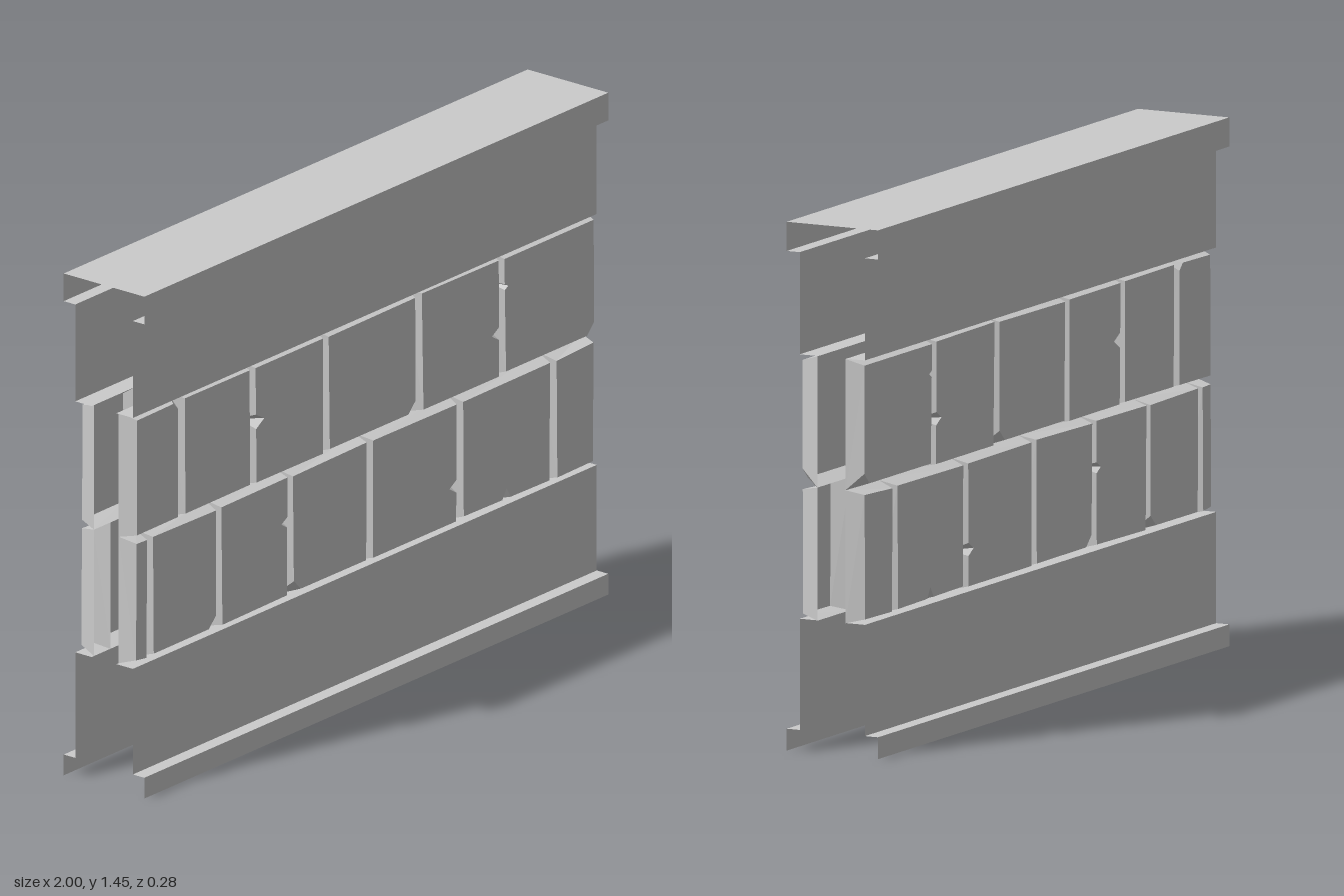
import * as THREE from 'three';

const material = new THREE.MeshStandardMaterial({ color: 0xcccccc, flatShading: true, side: THREE.DoubleSide });

// Small seeded generator for the hand-cut unevenness of the stones
let seed = 7;
const jitter = (amount) => {
  seed = (seed * 16807) % 2147483647;
  return (seed / 2147483647 - 0.5) * 2 * amount;
};

function meshFrom(triangles, name) {
  const geometry = new THREE.BufferGeometry();
  geometry.setAttribute('position', new THREE.Float32BufferAttribute(triangles.flat(), 3));
  geometry.computeVertexNormals();
  const mesh = new THREE.Mesh(geometry, material);
  mesh.name = name;
  return mesh;
}

// Sheet running along x with an open [z, y] profile
function ribbon(profile, name) {
  const x0 = -1, x1 = 0.99, out = [];
  for (let i = 0; i < profile.length - 1; i++) {
    const [az, ay] = profile[i], [bz, by] = profile[i + 1];
    out.push([x0, ay, az], [x0, by, bz], [x1, by, bz], [x0, ay, az], [x1, by, bz], [x1, ay, az]);
  }
  return meshFrom(out, name);
}

// Open-backed stone: flat face, sloping sides, chips as [edge, t, size].
// Edges: 0 bottom, 1 right, 2 top, 3 left, counter-clockwise; t = 0 cuts the starting corner.
const RIM_Z = 0.043, FACE_Z = 0.095, BEVEL = 0.014;
function stone(x0, x1, y0, y1, chips, name) {
  const rim = [[x0, y0], [x1, y0], [x1, y1], [x0, y1]].map(([x, y]) => new THREE.Vector2(x, y));
  const signs = [[1, 1], [-1, 1], [-1, -1], [1, -1]];
  const face = rim.map((p, i) => new THREE.Vector2(
    p.x + signs[i][0] * BEVEL + jitter(0.004), p.y + signs[i][1] * BEVEL + jitter(0.004)));
  const front = [], back = [];
  const add = (f, b) => { front.push(f); back.push(b); };

  for (let e = 0; e < 4; e++) {
    const n = (e + 1) % 4, a = face[e], b = face[n];
    const along = b.clone().sub(a).normalize();
    const inward = new THREE.Vector2(-along.y, along.x);
    const corner = chips.find((c) => c[0] === e && c[1] === 0);
    if (corner) {
      const prev = face[(e + 3) % 4].clone().sub(a).normalize();
      add(a.clone().addScaledVector(prev, corner[2]), rim[e]);
      add(a.clone().addScaledVector(along, corner[2]), rim[e]);
    } else add(a, rim[e]);
    for (const [edge, t, size] of chips) {
      if (edge !== e || t === 0) continue;
      const mid = a.clone().lerp(b, t), foot = rim[e].clone().lerp(rim[n], t);
      for (const [s, depth] of [[-0.6, 0], [0, 1], [0.6, 0]]) {
        add(mid.clone().addScaledVector(along, s * size).addScaledVector(inward, depth * size), foot);
      }
    }
  }

  const out = [];
  const F = (i) => [front[i].x, front[i].y, FACE_Z];
  const B = (i) => [back[i].x, back[i].y, RIM_Z];
  for (const [i, j, k] of THREE.ShapeUtils.triangulateShape(front, [])) out.push(F(i), F(j), F(k));
  for (let i = 0; i < front.length; i++) {
    const j = (i + 1) % front.length;
    out.push(B(i), B(j), F(j));
    out.push(B(i), F(j), F(i));
  }
  return meshFrom(out, name);
}

const courses = [
  {
    name: 'lowerStone', y: [0.365, 0.73],
    joints: [-0.99, -0.92, -0.625, -0.32, 0.02, 0.41, 0.81, 0.995],
    chips: { 1: [[1, 0, 0.03]], 2: [[1, 0.62, 0.025]], 3: [[0, 0, 0.03]], 4: [[1, 0.3, 0.03]], 5: [[0, 0.5, 0.03]] },
  },
  {
    name: 'upperStone', y: [0.73, 1.09],
    joints: [-0.99, -0.785, -0.48, -0.165, 0.235, 0.59, 0.995],
    chips: {
      0: [[2, 0, 0.02]], 2: [[3, 0.47, 0.035]], 3: [[1, 0, 0.03]],
      4: [[1, 0.37, 0.03]], 5: [[1, 0, 0.03], [3, 0.25, 0.015]],
    },
  },
];

// One skin of the wall: base panel with its foot, and two courses of stones
function wallSkin(name) {
  seed = 7;
  const skin = new THREE.Group();
  skin.name = name;
  skin.add(ribbon([[RIM_Z, 0.365], [0.1, 0.365], [0.1, 0.06], [0.14, 0.06], [0.14, 0]], 'basePanel'));
  for (const { name: part, y, joints, chips } of courses) {
    for (let i = 0; i < joints.length - 1; i++) {
      skin.add(stone(joints[i], joints[i + 1], y[0], y[1], chips[i] || [], part));
    }
  }
  return skin;
}

export function createModel() {
  const model = new THREE.Group();
  model.name = 'stoneWall';

  const back = wallSkin('backSkin');
  back.scale.z = -1;
  model.add(wallSkin('frontSkin'), back);

  // Upper panels and overhanging cap as one folded sheet
  const half = [[0.14, 1.45], [0.14, 1.37], [0.1, 1.37], [0.1, 1.09], [RIM_Z, 1.09]];
  const mirrored = half.map(([z, y]) => [-z, y]).reverse();
  model.add(ribbon([...mirrored, ...half], 'topPanelsAndCap'));
  return model;
}
